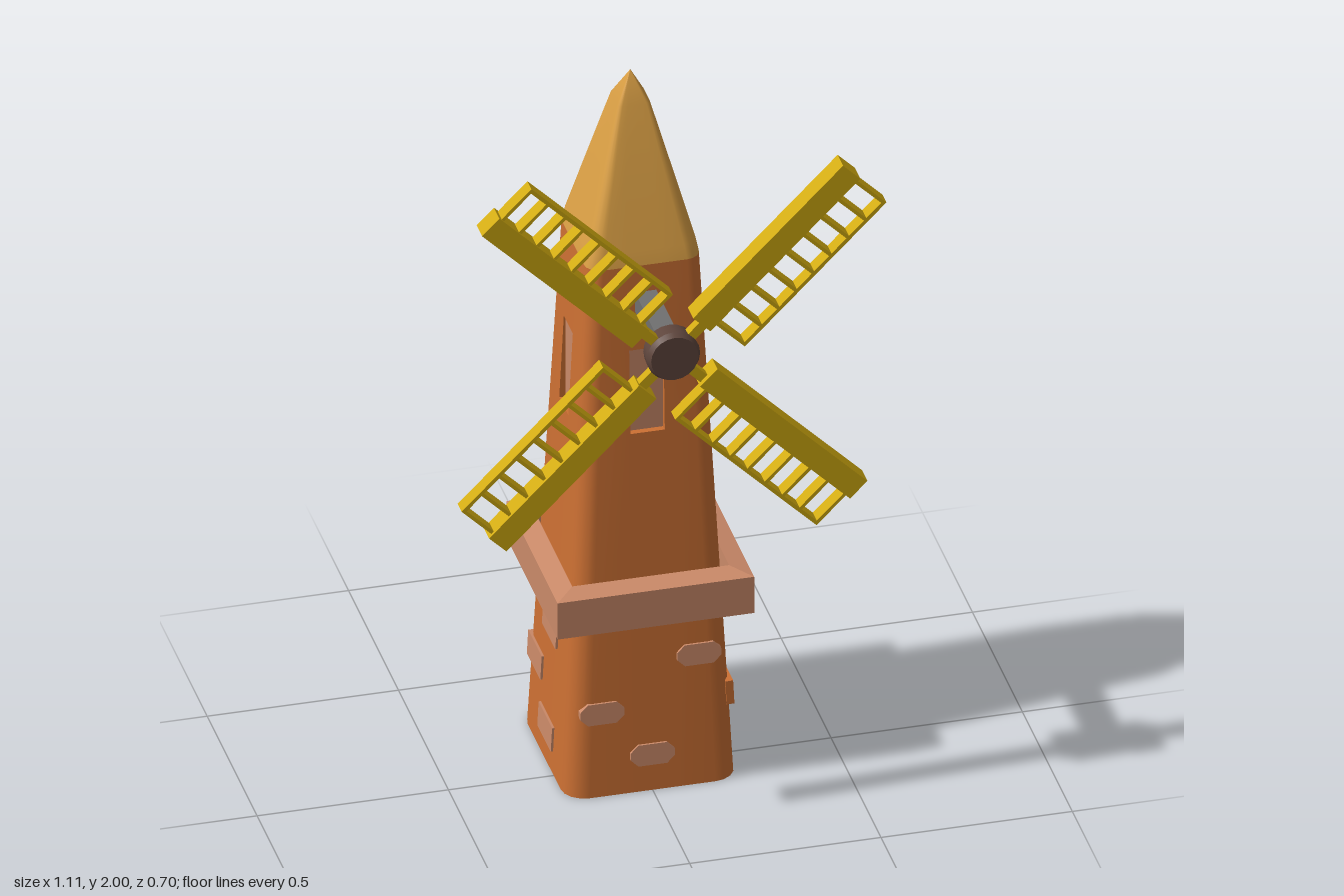
import * as THREE from 'three';

const mat = (name, color, opts = {}) => {
  const m = new THREE.MeshStandardMaterial({ color, ...opts });
  m.name = name;
  return m;
};

const CZ = -0.095;      // tower centre in z
const HUB_Y = 1.407;    // sail axis height
const SAIL_Z = 0.323;   // sail plane
const WIN = { x: 0.045, y0: 1.03, y1: 1.27, d: 0.157 };
const halfWidth = (y) => 0.225 - (0.075 * y) / 1.51;

// One ring of a rounded square, 7 points per side
function ring(w, y) {
  const r = 0.27 * w, f = w - r, h = Math.min(WIN.x, 0.4 * w);
  const side = [[-f, w], [-h, w], [h, w], [f, w]];
  for (let i = 1; i < 4; i++) {
    const t = (i * Math.PI) / 8;
    side.push([f + r * Math.sin(t), f + r * Math.cos(t)]);
  }
  const pts = [];
  for (let k = 0; k < 4; k++) {
    const c = Math.cos((k * Math.PI) / 2), s = Math.sin((k * Math.PI) / 2);
    side.forEach(([x, z]) => pts.push([x * c + z * s, y, -x * s + z * c]));
  }
  return pts;
}

// Skin over rings of [halfWidth, y]; openRow leaves a window gap on each side
function loft(rows, openRow = -1) {
  const pos = rows.flatMap(([w, y]) => ring(w, y)).flat();
  const idx = [], n = 28;
  for (let j = 0; j < rows.length - 1; j++) {
    for (let i = 0; i < n; i++) {
      if (j === openRow && i % 7 === 1) continue;
      const a = j * n + i, b = j * n + ((i + 1) % n);
      idx.push(a, b, b + n, a, b + n, a + n);
    }
  }
  const g = new THREE.BufferGeometry();
  g.setAttribute('position', new THREE.Float32BufferAttribute(pos, 3));
  g.setIndex(idx);
  g.computeVertexNormals();
  return g;
}

// Four reveal faces around a window opening
function reveal() {
  const { x, y0, y1, d } = WIN;
  const rim = [[-x, y0], [x, y0], [x, y1], [-x, y1]];
  const pos = [];
  rim.forEach(([ax, ay], i) => {
    const [bx, by] = rim[(i + 1) % 4];
    const A = [ax, ay, halfWidth(ay)], B = [bx, by, halfWidth(by)];
    const C = [bx, by, d], D = [ax, ay, d];
    pos.push(...A, ...B, ...C, ...A, ...C, ...D);
  });
  const g = new THREE.BufferGeometry();
  g.setAttribute('position', new THREE.Float32BufferAttribute(pos, 3));
  g.computeVertexNormals();
  return g;
}

// Brick with clipped corners
function brickGeometry(w, h, cut) {
  const s = new THREE.Shape();
  const x = w / 2, y = h / 2;
  s.moveTo(-x + cut, -y);
  s.lineTo(x - cut, -y);
  s.lineTo(x, -y + cut);
  s.lineTo(x, y - cut);
  s.lineTo(x - cut, y);
  s.lineTo(-x + cut, y);
  s.lineTo(-x, y - cut);
  s.lineTo(-x, -y + cut);
  return new THREE.ExtrudeGeometry(s, { depth: 0.02, bevelEnabled: false }).translate(0, 0, -0.014);
}

export function createModel() {
  const model = new THREE.Group();
  model.name = 'windmill';
  const wall = mat('terracotta', 0xcc7033, { side: THREE.DoubleSide });
  const thatch = mat('ochre roof', 0xdba045, { side: THREE.DoubleSide });
  const stone = mat('pale stone', 0xcb8a69);
  const yellow = mat('yellow wood', 0xd2ab10);
  const grey = mat('grey metal', 0x707070);
  const brown = mat('dark brown', 0x5f463d);
  stone.flatShading = true;

  const add = (parent, name, geo, material, x = 0, y = 0, z = 0) => {
    const m = new THREE.Mesh(geo, material);
    m.name = name;
    m.position.set(x, y, z);
    parent.add(m);
    return m;
  };

  // Tower and roof
  const tower = new THREE.Group();
  tower.name = 'tower';
  tower.position.z = CZ;
  model.add(tower);
  const levels = [0, WIN.y0, WIN.y1, 1.51].map((y) => [halfWidth(y), y]);
  add(tower, 'towerWall', loft(levels, 1), wall);
  add(tower, 'roof', loft([[0.15, 1.51], [0.142, 1.55], [0.094, 1.73], [0.043, 1.92], [0.001, 2]]), thatch);

  // Square balcony band, open around the wall
  const R = Math.SQRT2;
  const profile = [[0.205, 0.49], [0.257, 0.503], [0.257, 0.61], [0.205, 0.622], [0.205, 0.49]]
    .map(([r, y]) => new THREE.Vector2(r * R, y));
  const band = new THREE.LatheGeometry(profile, 4).rotateY(Math.PI / 4);
  add(tower, 'balconyBand', band, stone);

  // Windows and bricks, by side: front, +x, back, -x
  // Each brick: lateral offset, height, plain (wall-coloured) or not, corner cut
  const bricks = [
    [[0.125, 0.375, 0, 0.02], [-0.13, 0.24, 0, 0.02], [0, 0.105, 0, 0.02]],
    [[-0.13, 0.24, 1, 0.001], [0.12, 0.38, 1, 0.001], [0.135, 0.033, 0, 0.015]],
    [[-0.135, 0.245, 0, 0.001], [0, 0.175, 0, 0.001]],
    [[0, 0.39, 0, 0.001], [-0.12, 0.23, 0, 0.001], [0.01, 0.095, 0, 0.001]],
  ];
  bricks.forEach((list, k) => {
    const side = new THREE.Group();
    side.name = 'towerSide' + (k + 1);
    side.rotation.y = (k * Math.PI) / 2;
    tower.add(side);
    add(side, 'windowReveal', reveal(), wall);
    add(side, 'windowPane', new THREE.PlaneGeometry(2 * WIN.x, WIN.y1 - WIN.y0), stone,
      0, (WIN.y0 + WIN.y1) / 2, WIN.d);
    list.forEach(([x, y, plain, cut]) => {
      const h = cut > 0.01 ? 0.06 : 0.07;
      const b = add(side, 'brick', brickGeometry(h * 2 - 0.005, h, cut), plain ? wall : stone, x, y, halfWidth(y));
      b.rotation.x = -0.05;
    });
  });

  // Shaft and hub
  add(model, 'shaft', new THREE.BoxGeometry(0.056, 0.056, 0.28), grey, 0, HUB_Y, 0.17);
  const hubProfile = [[0, -0.028], [0.068, -0.028], [0.068, -0.028], [0.07, 0.014], [0.07, 0.014], [0.062, 0.029], [0.062, 0.029], [0, 0.029]]
    .map(([r, y]) => new THREE.Vector2(r, y));
  add(model, 'hub', new THREE.LatheGeometry(hubProfile, 20).rotateX(Math.PI / 2), brown, 0, HUB_Y, SAIL_Z);

  // Four lattice sails; local x runs outward, local -y is the lattice side
  const u0 = 0.133, u1 = 0.656, cells = 8;
  const box = (parent, name, x0, x1, y0, y1, depth) =>
    add(parent, name, new THREE.BoxGeometry(x1 - x0, y1 - y0, depth), yellow, (x0 + x1) / 2, (y0 + y1) / 2, 0);
  for (let k = 0; k < 4; k++) {
    const sail = new THREE.Group();
    sail.name = 'sail' + (k + 1);
    sail.position.set(0, HUB_Y, SAIL_Z);
    sail.rotation.z = Math.PI / 4 + (k * Math.PI) / 2;
    model.add(sail);
    box(sail, 'sailArm', 0.03, 0.15, -0.013, 0.013, 0.026);
    box(sail, 'sailBeam', 0.113, 0.667, -0.019, 0.045, 0.055);
    box(sail, 'latticeRail', u0, u1, -0.129, -0.119, 0.04);
    for (let i = 0; i <= cells; i++) {
      const u = u0 + ((u1 - u0 - 0.009) * i) / cells;
      box(sail, 'latticeRung', u, u + 0.009, -0.12, -0.018, 0.04);
    }
  }
  return model;
}
